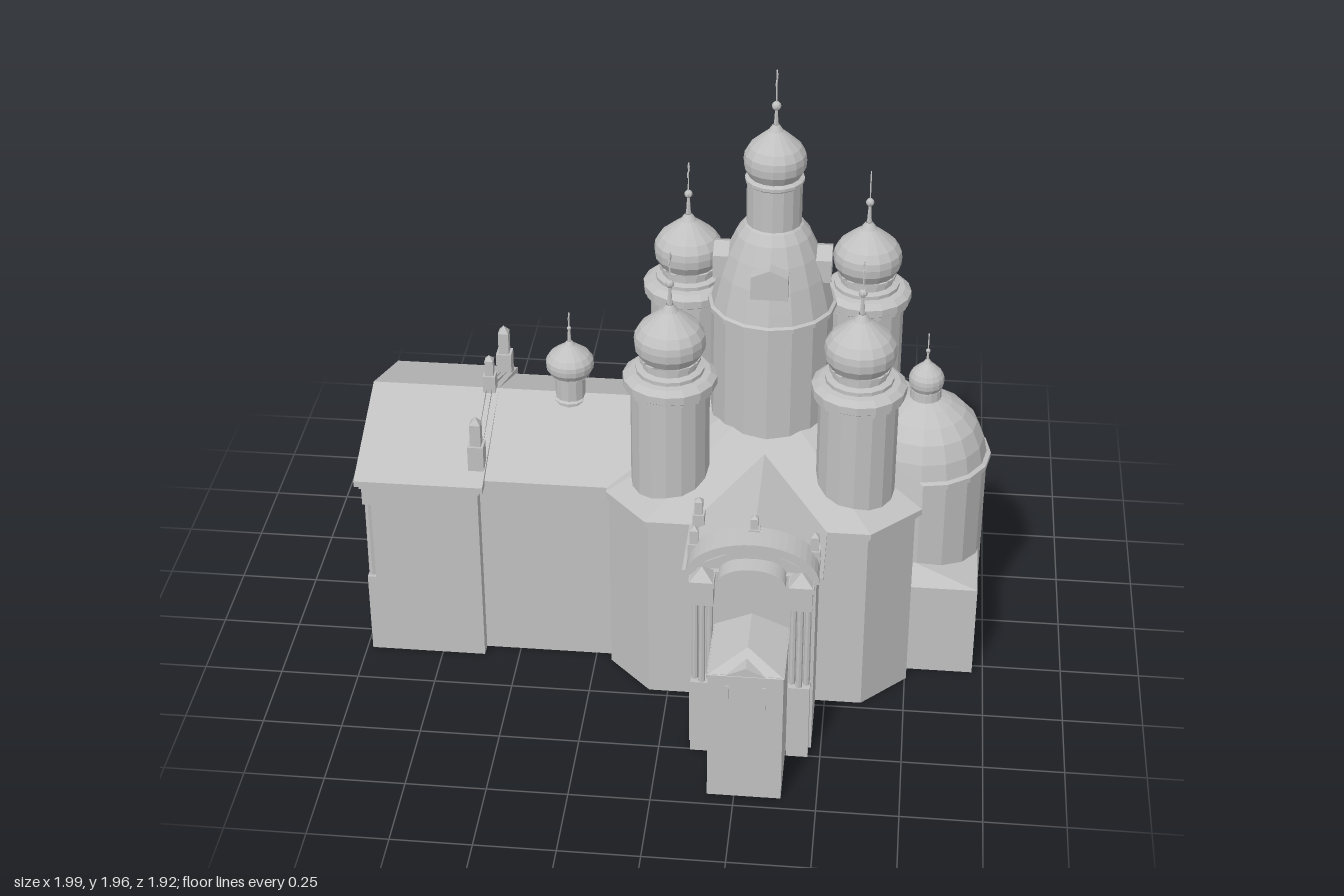
import * as THREE from 'three';

const stone = new THREE.MeshStandardMaterial({ color: 0xc0c0c0, flatShading: true, side: THREE.DoubleSide });
stone.name = 'stone grey';

function add(parent, name, geo, x = 0, y = 0, z = 0) {
  const m = new THREE.Mesh(geo, stone);
  m.name = name;
  m.position.set(x, y, z);
  parent.add(m);
  return m;
}

// Box given by its min and max corners
function box(parent, name, x0, x1, y0, y1, z0, z1) {
  return add(parent, name, new THREE.BoxGeometry(x1 - x0, y1 - y0, z1 - z0),
    (x0 + x1) / 2, (y0 + y1) / 2, (z0 + z1) / 2);
}

function lathe(parent, name, pts, x, z, sides) {
  return add(parent, name, new THREE.LatheGeometry(pts.map(p => new THREE.Vector2(...p)), sides), x, 0, z);
}

// Surface from a list of triangles, each made of three points
function faces(parent, name, tris) {
  const g = new THREE.BufferGeometry();
  g.setAttribute('position', new THREE.Float32BufferAttribute(tris.flat(2), 3));
  g.computeVertexNormals();
  return add(parent, name, g);
}
const quad = (a, b, c, d) => [[a, b, c], [a, c, d]];

// Cross-shaped footprint, grown outward by o
function footprint(o, west) {
  const half = [
    [west, 0.345 + o], [-0.612 + o, 0.345 + o], [-0.612 + o, 0.302 + o], [-0.198 - o * 0.4, 0.302 + o],
    [-0.198 - o * 0.4, 0.335 + o * 0.4], [-0.06 - o * 0.4, 0.475 + o], [0.09 - o, 0.475 + o], [0.09 - o, 0.71 + o],
    [0.47 + o, 0.71 + o], [0.47 + o, 0.475 + o], [0.615 + o * 0.4, 0.475 + o], [0.755 + o, 0.335 + o * 0.4]];
  return [...half, ...half.map(([x, z]) => [x, -z]).reverse()];
}

// Two-slope roof: ridge runs along x, or along z when swapped
function gable(parent, name, a, b, half, y0, y1, mid, alongZ) {
  const p = (t, y, s) => alongZ ? [mid + s, y, t] : [t, y, mid + s];
  const at = t => [p(t, y0, -half), p(t, y1, 0), p(t, y0, half)];
  const [l, r] = [at(a), at(b)];
  const inset = at(a + Math.sign(b - a) * 0.02);
  faces(parent, name, [...quad(l[0], l[1], r[1], r[0]), ...quad(l[1], l[2], r[2], r[1]), inset]);
}

// Onion cupola: neck, bulb, spire, ball and flat cross
function cupola(parent, x, z, y, r, h, neck, crossSize, tip) {
  const g = new THREE.Group();
  g.name = 'cupola';
  parent.add(g);
  const prof = [[neck, 0], [0.82 * r, 0.04], [0.98 * r, 0.2], [r, 0.34], [0.97 * r, 0.46], [0.82 * r, 0.6],
    [0.5 * r, 0.76], [0.24 * r, 0.88], [0.1 * r, 1]];
  lathe(g, 'onionDome', prof.map(([a, b]) => [a, y + b * h]), x, z, 16);
  add(g, 'spire', new THREE.CylinderGeometry(0.004, 0.08 * r, tip - y - h, 6), x, (tip + y + h) / 2, z);
  add(g, 'ball', new THREE.SphereGeometry(crossSize * 0.5, 8, 6), x, tip, z);
  const c = crossSize, cy = tip + 2.9 * c;
  box(g, 'crossUpright', x - 0.002, x + 0.002, tip, cy + c, z - c * 0.13, z + c * 0.13);
  box(g, 'crossArm', x - 0.002, x + 0.002, cy - c * 0.13, cy + c * 0.13, z - c, z + c);
  for (const [dy, dz] of [[0, 0.85], [0, -0.85], [0.8, 0]])
    box(g, 'crossEnd', x - 0.002, x + 0.002, cy + c * (dy - 0.25), cy + c * (dy + 0.25), z + c * (dz - 0.25), z + c * (dz + 0.25));
}

// Stepped roof post with a pointed cap
function post(parent, x, z, y, h, w = 0.042) {
  box(parent, 'postBase', x - w / 2, x + w / 2, y, y + h * 0.5, z - w / 2, z + w / 2);
  box(parent, 'postShaft', x - w * 0.34, x + w * 0.34, y + h * 0.5, y + h * 0.88, z - w * 0.34, z + w * 0.34);
  add(parent, 'postCap', new THREE.ConeGeometry(w * 0.48, h * 0.12, 4).rotateY(Math.PI / 4), x, y + h * 0.94, z);
}

// Half-elliptic band (or solid half-ellipse when there is no inner radius)
function arch(parent, name, rx, ry, ix, iy, y, z0, z1) {
  const s = new THREE.Shape();
  s.absellipse(0, 0, rx, ry, 0, Math.PI, false);
  if (ix) s.absellipse(0, 0, ix, iy, Math.PI, 0, true);
  s.closePath();
  add(parent, name, new THREE.ExtrudeGeometry(s, { depth: z1 - z0, bevelEnabled: false, curveSegments: 12 }), 0, y, z0);
}

// Transept front with pilasters, arched pediment and porch, built facing +z about x = 0
function transeptFront(parent, turn) {
  const g = new THREE.Group();
  g.name = 'transeptFront';
  g.position.x = 0.28;
  g.rotation.y = turn;
  parent.add(g);
  for (const s of [-1, 1]) {
    const x = s * 0.148;
    box(g, 'pilasterBase', x - 0.034, x + 0.034, 0, 0.265, 0.69, 0.755);
    for (const dx of [-0.022, 0, 0.022])
      add(g, 'column', new THREE.CylinderGeometry(0.0095, 0.0105, 0.295, 8), x + dx, 0.4125, dx ? 0.728 : 0.742);
    box(g, 'pilasterHead', x - 0.034, x + 0.034, 0.56, 0.64, 0.69, 0.76);
    box(g, 'pilasterCornice', x - 0.038, x + 0.038, 0.64, 0.662, 0.69, 0.782);
    add(g, 'pilasterCap', new THREE.ConeGeometry(0.05, 0.035, 4).rotateY(Math.PI / 4), x, 0.679, 0.75);
    post(g, s * 0.18, 0.66, 0.66, 0.12, 0.036);
    box(g, 'porchSlot', s * 0.055 - 0.005, s * 0.055 + 0.005, 0.28, 0.42, 0.955, 0.96);
  }
  post(g, 0, 0.66, 0.74, 0.09, 0.034);
  arch(g, 'outerArch', 0.2, 0.125, 0.172, 0.098, 0.655, 0.65, 0.745);
  arch(g, 'middleArch', 0.172, 0.098, 0.13, 0.062, 0.655, 0.66, 0.725);
  arch(g, 'innerArch', 0.102, 0.056, 0.085, 0.042, 0.655, 0.69, 0.775);
  arch(g, 'tympanum', 0.17, 0.09, 0, 0, 0.655, 0.68, 0.712);
  // porch walls and hipped roof with a small pediment
  const w = 0.112;
  faces(g, 'porchWalls', [
    ...quad([-w, 0, 0.7], [-w, 0, 0.955], [-w, 0.46, 0.955], [-w, 0.46, 0.7]),
    ...quad([-w, 0, 0.955], [w, 0, 0.955], [w, 0.46, 0.955], [-w, 0.46, 0.955]),
    ...quad([w, 0, 0.955], [w, 0, 0.7], [w, 0.46, 0.7], [w, 0.46, 0.955])]);
  const [a, b, c, d] = [[-0.115, 0.457, 0.958], [0.115, 0.457, 0.958], [0.115, 0.457, 0.7], [-0.115, 0.457, 0.7]];
  const [r, q] = [[0, 0.505, 0.875], [0, 0.505, 0.7]];
  faces(g, 'porchRoof', [[a, b, r], ...quad(b, c, q, r), ...quad(d, a, r, q)]);
  faces(g, 'porchPediment', [[[-0.06, 0.458, 0.957], [0.06, 0.458, 0.957], [0, 0.487, 0.957]],
    [[0.06, 0.458, 0.957], [0, 0.487, 0.9], [0, 0.487, 0.957]], [[0, 0.487, 0.957], [0, 0.487, 0.9], [-0.06, 0.458, 0.957]]]);
}

export function createModel() {
  const root = new THREE.Group();
  root.name = 'church';

  // outer walls, open below
  const fp = footprint(0, -0.955);
  faces(root, 'walls', fp.flatMap(([x, z], i) => {
    const [u, v] = fp[(i + 1) % fp.length];
    return quad([x, 0, z], [u, 0, v], [u, 0.65, v], [x, 0.65, z]);
  }));
  // two-step eaves
  for (const [o, y, h] of [[0.008, 0.645, 0.015], [0.02, 0.665, 0.02]]) {
    const s = new THREE.Shape(footprint(o, -0.98 - o).map(p => new THREE.Vector2(...p)));
    add(root, 'eaves', new THREE.ExtrudeGeometry(s, { depth: h, bevelEnabled: false }).rotateX(Math.PI / 2), 0, y, 0);
  }

  // roofs
  gable(root, 'westRoof', -1, -0.592, 0.365, 0.665, 0.808, 0);
  faces(root, 'westRoofBack', [[[-0.592, 0.665, -0.365], [-0.592, 0.808, 0], [-0.592, 0.665, 0.365]]]);
  gable(root, 'naveRoof', -0.62, 0.2, 0.322, 0.665, 0.808, 0);
  for (const s of [-1, 1]) gable(root, 'transeptRoof', s * 0.73, s * 0.15, 0.21, 0.665, 0.77, 0.28, true);
  const rim = [[-0.206, 0.343], [-0.068, 0.495], [0.623, 0.495], [0.775, 0.343]];
  const ring = [...rim, ...rim.map(([x, z]) => [x, -z]).reverse()];
  faces(root, 'crossingRoof', ring.map(([x, z], i) => {
    const [u, v] = ring[(i + 1) % ring.length];
    return [[x, 0.665, z], [u, 0.665, v], [0.28, 0.87, 0]];
  }));

  // west front: plinth, entablature, colonnade and arched door
  box(root, 'westPlinth', -0.982, -0.95, 0, 0.285, -0.345, 0.345);
  box(root, 'westEntablature', -0.982, -0.95, 0.58, 0.65, -0.345, 0.345);
  for (const z of [-0.32, -0.27, -0.14, -0.09, 0.09, 0.14, 0.27, 0.32]) {
    add(root, 'westColumn', new THREE.CylinderGeometry(0.012, 0.014, 0.3, 8), -0.968, 0.43, z);
    box(root, 'columnCapital', -0.984, -0.952, 0.56, 0.582, z - 0.017, z + 0.017);
  }
  const door = new THREE.Shape();
  door.moveTo(-0.05, 0).lineTo(0.05, 0).lineTo(0.05, 0.17).absarc(0, 0.17, 0.05, 0, Math.PI, false);
  add(root, 'westDoor', new THREE.ExtrudeGeometry(door, { depth: 0.005, bevelEnabled: false }).rotateY(-Math.PI / 2), -0.981);

  // roof parapet and posts
  for (const s of [-1, 1]) {
    post(root, -0.62, s * 0.28, 0.675, 0.2, 0.05);
    post(root, 0.1, s * 0.51, 0.665, 0.115, 0.036);
  }
  post(root, -0.62, 0, 0.79, 0.14, 0.04);
  faces(root, 'parapet', [-0.63, -0.612].flatMap(x => [[[x, 0.7, -0.28], [x, 0.822, 0], [x, 0.7, 0.28]]]));

  transeptFront(root, 0);
  transeptFront(root, Math.PI);

  // four corner towers
  for (const x of [-0.01, 0.565]) for (const z of [-0.289, 0.289]) {
    lathe(root, 'cornerTower', [[0.122, 0.655], [0.122, 1.03], [0.138, 1.035], [0.138, 1.045], [0.145, 1.05], [0.145, 1.075],
      [0.125, 1.09], [0.105, 1.093], [0.105, 1.105], [0.085, 1.11], [0.085, 1.125], [0.094, 1.13], [0.094, 1.14]], x, z, 16);
    cupola(root, x, z, 1.135, 0.11, 0.185, 0.075, 0.027, 1.39);
  }

  // central drum, dome and lantern
  lathe(root, 'centralTower', [[0.19, 0.68], [0.19, 1.17], [0.2, 1.175], [0.2, 1.19], [0.19, 1.195], [0.182, 1.23], [0.165, 1.3],
    [0.142, 1.37], [0.115, 1.43], [0.092, 1.46], [0.085, 1.465], [0.085, 1.6], [0.091, 1.605], [0.091, 1.615], [0.07, 1.625]], 0.28, 0, 16);
  cupola(root, 0.28, 0, 1.615, 0.096, 0.175, 0.07, 0.029, 1.85);
  const dormer = new THREE.Shape([[-0.057, 0], [0.057, 0], [0.057, 0.075], [0, 0.1], [-0.057, 0.075]].map(p => new THREE.Vector2(...p)));
  for (let i = 0; i < 4; i++) {
    const g = new THREE.ExtrudeGeometry(dormer, { depth: 0.1, bevelEnabled: false }).translate(0, 1.287, 0.082);
    add(root, 'dormer', g.rotateY(i * Math.PI / 2), 0.28);
  }

  // nave cupola
  lathe(root, 'naveDrum', [[0.056, 0.77], [0.056, 0.795], [0.048, 0.8], [0.048, 0.87], [0.058, 0.875], [0.058, 0.882]], -0.36, 0, 12);
  cupola(root, -0.36, 0, 0.88, 0.077, 0.12, 0.055, 0.014, 1.045);

  // apse with dome and cupola
  lathe(root, 'apse', [[0.205, 0], [0.205, 0.64], [0.217, 0.648], [0.217, 0.665], [0.203, 0.67], [0.192, 0.725], [0.167, 0.78],
    [0.13, 0.82], [0.085, 0.85], [0.05, 0.865], [0.048, 0.895], [0.04, 0.9]], 0.77, 0, 16);
  cupola(root, 0.77, 0, 0.89, 0.056, 0.11, 0.042, 0.015, 1.03);

  // lean-to beside the apse
  const [n, e, f] = [[0.72, 0.325, 0.285], [0.965, 0.325, 0.285], [0.965, 0.325, 0.05]];
  const top = [0.76, 0.365, 0.205];
  const low = ([x, , z]) => [x, 0, z];
  faces(root, 'leanToWalls', [...quad(low(n), low(e), e, n), ...quad(low(e), low(f), f, e)]);
  faces(root, 'leanToRoof', [[n, e, top], [e, f, top]]);

  return root;
}
